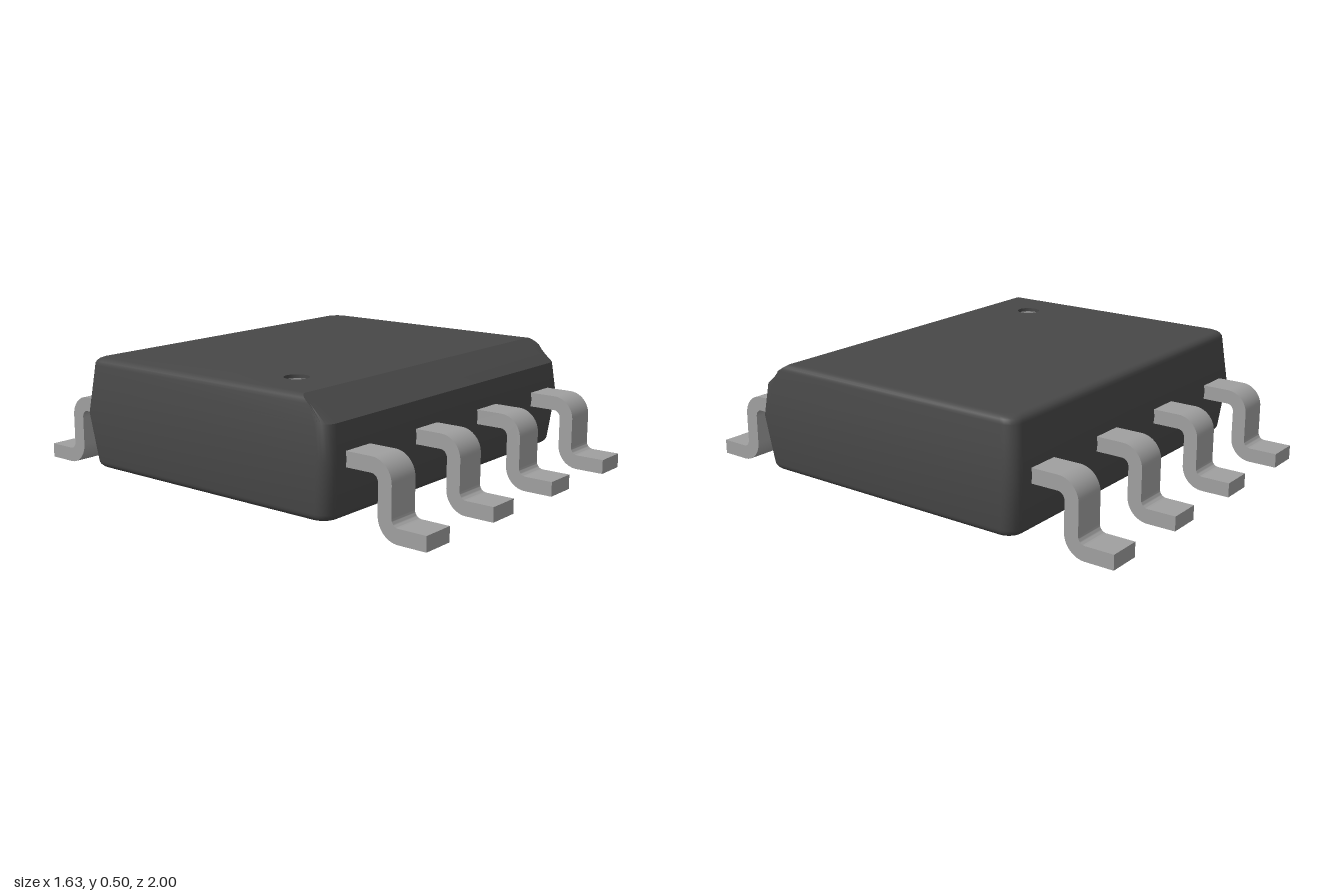
import * as THREE from 'three';
import { mergeGeometries, toCreasedNormals } from 'three/addons/utils/BufferGeometryUtils.js';

const BOTTOM = 0.04, TOP = 0.5, MID = 0.27;
const HALF_X = 0.815, HALF_Z = 0.65, CORNER = 0.055, FILLET = 0.03, DRAFT = 0.022;
const DOT = { x: -0.565, z: 0.295, r: 0.05, depth: 0.015 };

const bodyMat = new THREE.MeshStandardMaterial({ color: 0x484848 });
const dotMat = new THREE.MeshStandardMaterial({ color: 0x808080 });
const legMat = new THREE.MeshStandardMaterial({ color: 0xa0a0a0 });

// Rounded rectangle at height y, cut back at the front by the bevel plane
function ring(y, inset) {
  const hx = HALF_X - inset - CORNER, hz = HALF_Z - inset - CORNER;
  const frontLimit = 0.505 + (TOP - y) * (0.13 / 0.09);
  const points = [];
  [[1, 1], [-1, 1], [-1, -1], [1, -1]].forEach(([sx, sz], quarter) => {
    for (let i = 0; i <= 6; i++) {
      const a = (quarter + i / 6) * Math.PI / 2;
      const z = sz * hz + CORNER * Math.sin(a);
      points.push(new THREE.Vector3(sx * hx + CORNER * Math.cos(a), y, Math.min(z, frontLimit)));
    }
  });
  return points;
}

function bodyGeometry() {
  // Lower half profile: [distance from the end face, inset]
  const half = [];
  for (let i = 0; i <= 5; i++) {
    const a = i / 5 * Math.PI / 2;
    half.push([FILLET * (1 - Math.cos(a)), DRAFT + FILLET * (1 - Math.sin(a))]);
  }
  const rings = [
    ...half.map(([d, inset]) => ring(BOTTOM + d, inset)),
    ring(MID, 0),
    ring(0.405, 0.015),
    ...half.reverse().map(([d, inset]) => ring(TOP - d, inset)),
  ];

  // Side walls
  const pos = [];
  for (let i = 0; i < rings.length - 1; i++) {
    const lo = rings[i], hi = rings[i + 1];
    for (let j = 0; j < lo.length; j++) {
      const k = (j + 1) % lo.length;
      for (const p of [lo[j], hi[j], hi[k], lo[j], hi[k], lo[k]]) pos.push(p.x, p.y, p.z);
    }
  }
  const walls = new THREE.BufferGeometry();
  walls.setAttribute('position', new THREE.Float32BufferAttribute(pos, 3));

  // Flat bottom, and top with the hole for the marker
  const cap = (points, sign) => {
    const shape = new THREE.Shape(points.map(p => new THREE.Vector2(p.x, -sign * p.z)));
    if (sign > 0) {
      shape.holes.push(new THREE.Path().absarc(DOT.x, -DOT.z, DOT.r, 0, Math.PI * 2, true));
    }
    const flat = new THREE.ShapeGeometry(shape, 16).toNonIndexed();
    flat.rotateX(-sign * Math.PI / 2).translate(0, points[0].y, 0);
    flat.deleteAttribute('uv');
    flat.deleteAttribute('normal');
    return flat;
  };
  const merged = mergeGeometries([walls, cap(rings[0], -1), cap(rings[rings.length - 1], 1)]);
  return toCreasedNormals(merged, 0.5);
}

// Gull-wing strip, drawn in the z-y plane and extruded across its width
function legGeometry() {
  const width = 0.14, q = Math.PI / 2;
  const s = new THREE.Shape();
  s.moveTo(0.6, 0.24);
  s.lineTo(0.76, 0.24);
  s.absarc(0.76, 0.21, 0.03, q, 0, true);
  s.lineTo(0.79, 0.09);
  s.absarc(0.88, 0.09, 0.09, 2 * q, 3 * q, false);
  s.lineTo(1, 0);
  s.lineTo(1, 0.06);
  s.lineTo(0.88, 0.06);
  s.absarc(0.88, 0.09, 0.03, 3 * q, 2 * q, true);
  s.lineTo(0.85, 0.21);
  s.absarc(0.76, 0.21, 0.09, 0, q, false);
  s.lineTo(0.6, 0.3);
  s.closePath();
  const geo = new THREE.ExtrudeGeometry(s, { depth: width, bevelEnabled: false, curveSegments: 8 });
  geo.translate(0, 0, -width / 2).rotateY(-q);
  return toCreasedNormals(geo, 0.6);
}

export function createModel() {
  const model = new THREE.Group();
  model.name = 'chipPackage';
  const add = (name, geometry, material) => {
    const mesh = new THREE.Mesh(geometry, material);
    mesh.name = name;
    model.add(mesh);
    return mesh;
  };

  add('body', bodyGeometry(), bodyMat);

  // Shallow round marker: wall seen from inside, and floor
  const wallMat = bodyMat.clone();
  wallMat.side = THREE.DoubleSide;
  add('markerWall', new THREE.CylinderGeometry(DOT.r, DOT.r, DOT.depth, 32, 1, true), wallMat)
    .position.set(DOT.x, TOP - DOT.depth / 2, DOT.z);
  add('markerFloor', new THREE.CircleGeometry(DOT.r, 32).rotateX(-Math.PI / 2), dotMat)
    .position.set(DOT.x, TOP - DOT.depth, DOT.z);

  // Four legs along the front and four along the back
  const leg = legGeometry();
  for (const side of ['front', 'back']) {
    for (let i = 0; i < 4; i++) {
      const mesh = add(`${side}Leg${i + 1}`, leg, legMat);
      mesh.position.x = (i - 1.5) * 0.425;
      if (side === 'back') mesh.rotation.y = Math.PI;
    }
  }
  return model;
}
